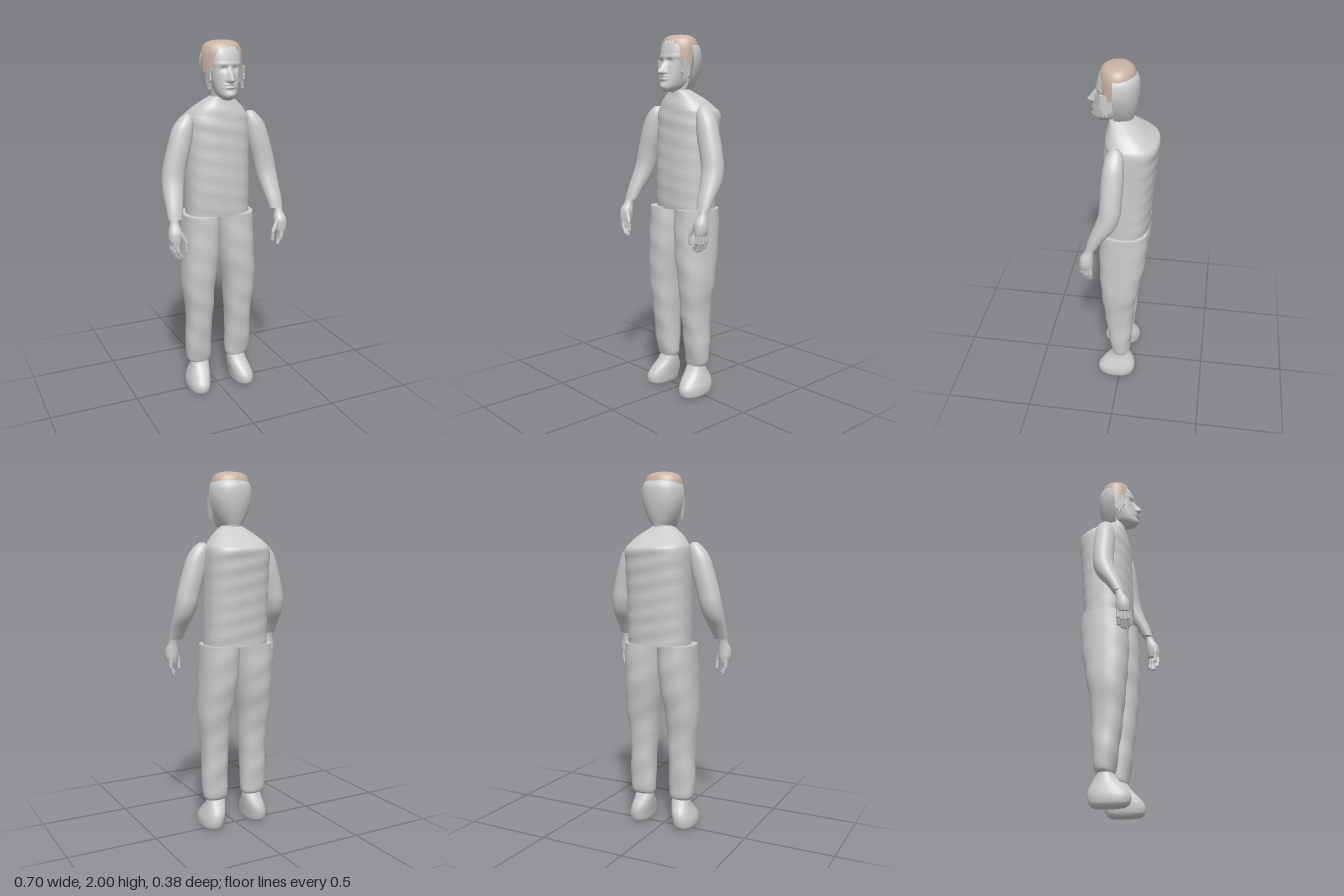
import * as THREE from 'three';

const MID = 0.01; // mirror plane of the limbs

// Grid surface from f(u, v); u runs around, v runs upward
function surface(f, nu, nv, closed, capped) {
  const pos = [], idx = [], cols = closed ? nu : nu + 1;
  for (let i = 0; i <= nv; i++)
    for (let j = 0; j < cols; j++) pos.push(...f(j / nu, i / nv));
  for (let i = 0; i < nv; i++)
    for (let j = 0; j < nu; j++) {
      const k = closed ? (j + 1) % nu : j + 1;
      const a = i * cols + j, b = i * cols + k, c = a + cols, d = b + cols;
      idx.push(a, c, b, b, c, d);
    }
  if (capped)
    for (const v of [0, 1]) {
      const base = pos.length / 3;
      const ring = Array.from({ length: nu }, (_, j) => f(j / nu, v));
      const mid = [0, 1, 2].map(k => ring.reduce((s, p) => s + p[k], 0) / nu);
      pos.push(...mid, ...ring.flat());
      for (let j = 0; j < nu; j++) {
        const a = base + 1 + j, b = base + 1 + ((j + 1) % nu);
        idx.push(base, ...(v ? [b, a] : [a, b]));
      }
    }
  const g = new THREE.BufferGeometry();
  g.setAttribute('position', new THREE.Float32BufferAttribute(pos, 3));
  g.setIndex(idx);
  g.computeVertexNormals();
  return g;
}

// Smooth interpolation through the cross-section rows
function sample(rows, t) {
  const s = t * (rows.length - 1), i = Math.min(Math.floor(s), rows.length - 2), f = s - i;
  const at = k => rows[Math.max(0, Math.min(rows.length - 1, k))];
  return at(i).map((p1, k) => {
    const p0 = at(i - 1)[k], p2 = at(i + 1)[k], p3 = at(i + 2)[k];
    return p1 + 0.5 * f * (p2 - p0 + f * (2 * p0 - 5 * p1 + 4 * p2 - p3 + f * (3 * (p1 - p2) + p3 - p0)));
  });
}

// Rounded body from rows of [y, xMin, xMax, zMin, zMax], lowest first
function loft(rows, { n = 2.2, nu = 40, nv = 40, from = 0, to = 2 * Math.PI, shape = null } = {}) {
  const full = to - from > 6.28;
  const pow = c => Math.sign(c) * Math.abs(c) ** (2 / n);
  return surface((u, v) => {
    const [y, x0, x1, z0, z1] = sample(rows, v), a = from + (to - from) * u;
    const p = [
      (x0 + x1) / 2 + (x1 - x0) / 2 * pow(Math.cos(a)), y,
      (z0 + z1) / 2 + (z1 - z0) / 2 * pow(Math.sin(a))];
    return shape ? shape(p) : p;
  }, nu, nv, full, full);
}

const bump = (d, w) => Math.exp(-((d / w) ** 2));

// Nose, eye sockets, brow, lips and chin pushed into the front of the face
function faceShape([x, y, z]) {
  if (z < 0.075) return [x, y, z];
  const dx = x - 0.02, side = Math.abs(dx);
  const ramp = y > 1.8 ? Math.max(0, 1 - (y - 1.8) / 0.07) : Math.max(0, 1 - (1.8 - y) / 0.018);
  let dz = 0.044 * ramp * bump(dx, 0.011 + 0.006 * ramp);
  dz -= 0.012 * bump(side - 0.03, 0.016) * bump(y - 1.858, 0.012);
  dz += 0.005 * bump(side - 0.03, 0.007) * bump(y - 1.856, 0.006);
  dz += 0.004 * bump(y - 1.882, 0.01);
  dz += 0.012 * bump(dx, 0.026) * (bump(y - 1.779, 0.006) + bump(y - 1.764, 0.006));
  dz += 0.008 * bump(dx, 0.025) * bump(y - 1.728, 0.014);
  return [x, y, z + dz];
}

export function createModel() {
  const grey = new THREE.MeshStandardMaterial({ color: 0xcccccc });
  grey.name = 'lightGrey';
  const greyThin = grey;
  const brown = new THREE.MeshStandardMaterial({ color: 0xc8b2a4, side: THREE.DoubleSide });
  brown.name = 'hairBrown';
  const model = new THREE.Group();
  model.name = 'figure';
  const add = (name, geo, mat = grey, parent = model) => {
    const m = new THREE.Mesh(geo, mat);
    m.name = name;
    parent.add(m);
    return m;
  };

  // Torso with sloping shoulders and a high back
  add('torso', loft([
    [1.06, -0.165, 0.195, -0.15, 0.1], [1.2, -0.165, 0.195, -0.16, 0.105],
    [1.38, -0.165, 0.195, -0.173, 0.102], [1.52, -0.165, 0.198, -0.186, 0.097],
    [1.585, -0.163, 0.195, -0.19, 0.093], [1.615, -0.15, 0.178, -0.162, 0.088],
    [1.655, -0.115, 0.145, -0.11, 0.08], [1.69, -0.07, 0.1, -0.06, 0.072],
    [1.71, -0.04, 0.07, -0.03, 0.068]], { n: 2.5, nu: 56, nv: 56,
    shape: ([x, y, z]) => [x, y, z + 0.002 * Math.sin(y * 70 + x * 14)] }));

  // Head: neck, face, open back of the skull
  add('neck', loft([[1.64, -0.035, 0.07, -0.045, 0.06], [1.7, -0.03, 0.065, -0.04, 0.072],
    [1.77, -0.03, 0.07, -0.045, 0.08]], { nu: 28, nv: 8 }));
  add('face', loft([
    [1.698, 0.0, 0.04, 0.08, 0.13], [1.712, -0.018, 0.058, 0.04, 0.147],
    [1.735, -0.036, 0.076, 0.01, 0.149], [1.785, -0.05, 0.09, 0, 0.142],
    [1.85, -0.06, 0.1, -0.005, 0.134], [1.915, -0.066, 0.106, -0.005, 0.126],
    [1.96, -0.058, 0.098, 0, 0.108], [1.982, -0.035, 0.075, 0.01, 0.075]],
  { nu: 96, nv: 84, shape: faceShape }));
  add('skull', loft([
    [1.715, -0.04, 0.08, -0.055, 0.125], [1.75, -0.062, 0.102, -0.066, 0.136],
    [1.8, -0.085, 0.125, -0.078, 0.148], [1.86, -0.1, 0.14, -0.085, 0.155],
    [1.92, -0.097, 0.137, -0.082, 0.152], [1.955, -0.075, 0.115, -0.06, 0.13],
    [1.972, -0.03, 0.07, -0.02, 0.09]], { from: Math.PI, to: 2 * Math.PI, nu: 32 }));

  // Hair cap with a high fringe, long sides and a short back
  const step = THREE.MathUtils.smoothstep;
  add('hair', surface((u, v) => {
    const a = u * 2 * Math.PI, s = Math.sin(a);
    const low = 1.915 - 0.075 * step(s, -0.05, 0.2) + 0.128 * step(s, 0.62, 0.95)
      + 0.005 * Math.sin(a * 23) + 0.003 * Math.sin(a * 37);
    const w = Math.sin(v * Math.PI / 2), y = low + (2 - low) * w;
    const h = Math.max(0, (y - 1.86) / 0.14);
    const r = Math.max(0, 1 - h ** 4) ** 0.3;
    return [0.018 + 0.113 * r * Math.cos(a), y, 0.025 + 0.096 * r * s];
  }, 120, 24, true, false), brown);

  // Ragged locks in front of the ears
  const lock = new THREE.Shape([
    [0.035, 1.87], [0.04, 1.80], [0.05, 1.775], [0.058, 1.785], [0.066, 1.75], [0.075, 1.775],
    [0.084, 1.752], [0.088, 1.79], [0.1, 1.8], [0.094, 1.83], [0.1, 1.87]
  ].map(([z, y]) => new THREE.Vector2(-z, y)));
  for (const x of [-0.078, 0.113])
    add('sideLock', new THREE.ExtrudeGeometry(lock, { depth: 0.008, bevelEnabled: false })
      .rotateY(Math.PI / 2).translate(x, 0, 0), greyThin);

  // Limb cross-sections for the model's left side
  const arm = [
    [1.09, 0.272, 0.35, 0.095, 0.155], [1.15, 0.258, 0.352, 0.055, 0.138],
    [1.22, 0.24, 0.352, 0, 0.112], [1.29, 0.224, 0.347, -0.025, 0.09],
    [1.36, 0.208, 0.335, -0.03, 0.084], [1.46, 0.18, 0.308, -0.035, 0.08],
    [1.55, 0.166, 0.277, -0.032, 0.07], [1.6, 0.166, 0.238, -0.02, 0.052],
    [1.622, 0.182, 0.21, 0, 0.03]];
  const palm = [
    [0.96, 0.297, 0.352, 0.12, 0.188], [0.99, 0.29, 0.36, 0.115, 0.19],
    [1.03, 0.288, 0.358, 0.115, 0.185], [1.07, 0.298, 0.345, 0.112, 0.16],
    [1.12, 0.3, 0.342, 0.1, 0.145]];
  const leg = [
    [0.172, 0.07, 0.188, -0.045, 0.043], [0.2, 0.061, 0.203, -0.058, 0.05],
    [0.3, 0.06, 0.21, -0.067, 0.066], [0.4, 0.06, 0.205, -0.075, 0.08],
    [0.52, 0.052, 0.21, -0.08, 0.095], [0.65, 0.045, 0.225, -0.1, 0.108],
    [0.8, 0.022, 0.222, -0.13, 0.117], [0.93, 0.011, 0.218, -0.145, 0.117],
    [1.065, 0.008, 0.213, -0.15, 0.112]];
  const foot = [
    [0, 0.102, 0.2, -0.06, 0.112], [0.018, 0.092, 0.21, -0.08, 0.13],
    [0.055, 0.086, 0.211, -0.09, 0.132], [0.095, 0.08, 0.2, -0.086, 0.106],
    [0.14, 0.075, 0.186, -0.062, 0.062], [0.182, 0.076, 0.178, -0.038, 0.034]];
  // Finger joints: knuckle, middle, tip
  const digits = [
    [[0.325, 0.97, 0.176], [0.318, 0.925, 0.18], [0.3, 0.892, 0.176]],
    [[0.33, 0.97, 0.16], [0.326, 0.918, 0.163], [0.308, 0.88, 0.162]],
    [[0.335, 0.97, 0.144], [0.332, 0.92, 0.146], [0.316, 0.882, 0.146]],
    [[0.338, 0.975, 0.13], [0.338, 0.93, 0.13], [0.326, 0.896, 0.13]],
    [[0.297, 1.02, 0.168], [0.27, 0.965, 0.176], [0.268, 0.915, 0.174]]];

  for (const [side, flip] of [['left', false], ['right', true]]) {
    const mirror = rows => flip
      ? rows.map(([y, a, b, ...z]) => [y, 2 * MID - b, 2 * MID - a, ...z]) : rows;
    add(side + 'Sleeve', loft(mirror(arm), { n: 2.1 }));
    add(side + 'TrouserLeg', loft(mirror(leg), { n: 2.3, nv: 60,
      shape: ([x, y, z]) => [x, y, z + 0.002 * Math.sin(y * 40 + x * 20)] }));
    add(side + 'Foot', loft(mirror(foot), { n: 2.2 }));

    const hand = new THREE.Group();
    hand.name = side + 'Hand';
    model.add(hand);
    add('palm', loft(mirror(palm), { nu: 24, nv: 16 }), grey, hand);
    for (const joints of digits) {
      const p = joints.map(([x, y, z]) => new THREE.Vector3(flip ? 2 * MID - x : x, y, z));
      for (let i = 0; i < 2; i++) {
        const d = p[i + 1].clone().sub(p[i]);
        const m = add('finger', new THREE.CapsuleGeometry(0.011 - 0.0015 * i, d.length(), 4, 10), grey, hand);
        m.position.copy(p[i]).addScaledVector(d, 0.5);
        m.quaternion.setFromUnitVectors(new THREE.Vector3(0, 1, 0), d.normalize());
      }
    }
  }
  return model;
}
